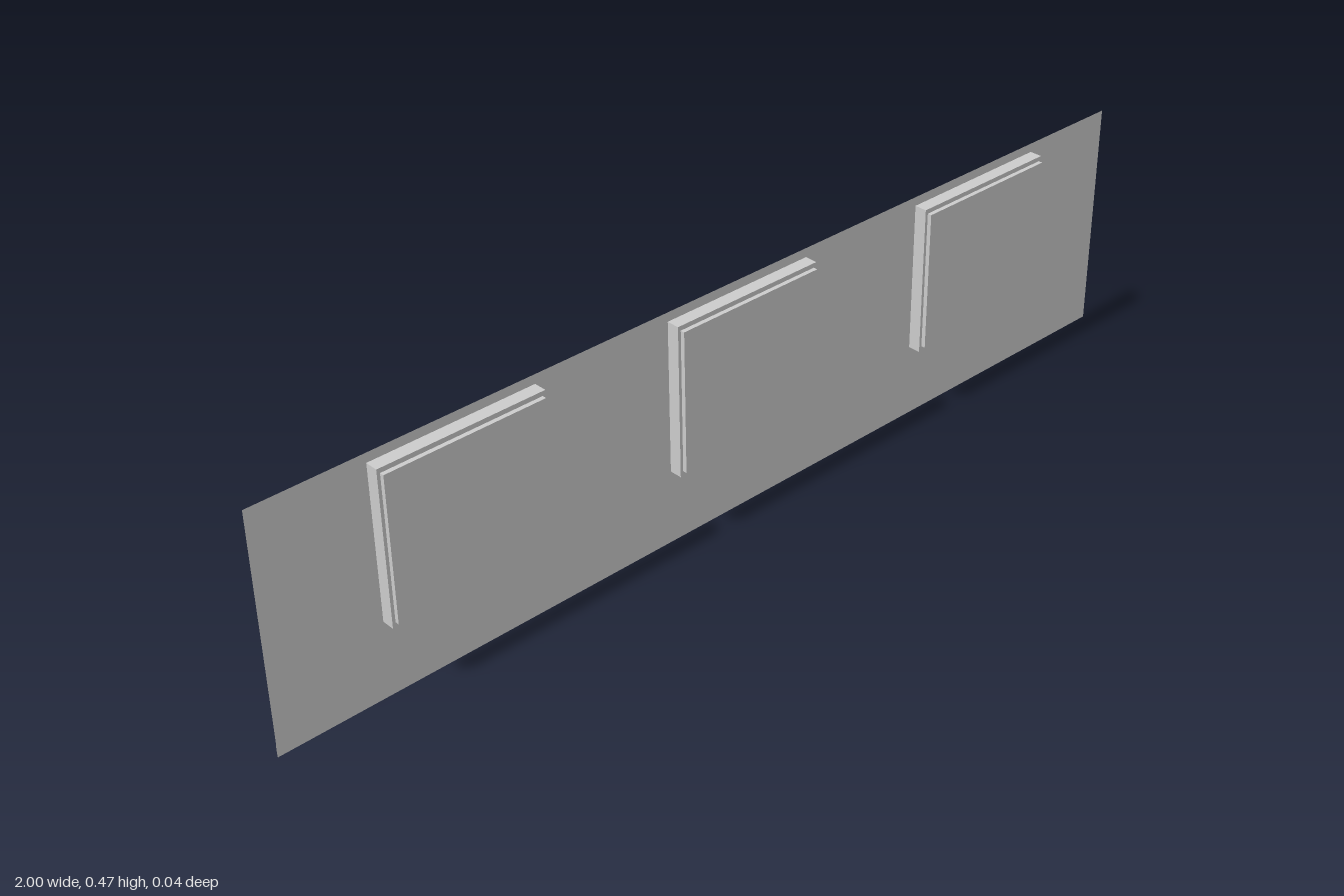
import * as THREE from 'three';

const material = new THREE.MeshStandardMaterial({ color: 0xcccccc, side: THREE.DoubleSide, flatShading: true });
const WALL_Z = -0.0165, HEIGHT = 0.47;
const WINDOW_X = [-0.617, 0, 0.617];

// Cross-sections of a window from the wall forward: half width, bottom, top, depth
const SECTIONS = [
  [0.165, 0.15, 0.452, WALL_Z],
  [0.165, 0.15, 0.452, 0.009],
  [0.159, 0.16, 0.443, 0.009],
  [0.159, 0.16, 0.443, 0.0175],
];

function rectangle(shape, x0, y0, x1, y1) {
  shape.moveTo(x0, y0).lineTo(x1, y0).lineTo(x1, y1).lineTo(x0, y1).closePath();
  return shape;
}

function addMesh(parent, name, geometry, z = 0) {
  const mesh = new THREE.Mesh(geometry, material);
  mesh.name = name;
  mesh.position.z = z;
  parent.add(mesh);
}

// Stepped frame, hollow and open at the back
function frameGeometry() {
  const corners = SECTIONS.map(([w, b, t, z]) => [[-w, b, z], [w, b, z], [w, t, z], [-w, t, z]]);
  const positions = [];
  for (let s = 0; s < corners.length - 1; s++) {
    for (let i = 0; i < 4; i++) {
      const j = (i + 1) % 4;
      const a = corners[s][i], b = corners[s][j], c = corners[s + 1][j], d = corners[s + 1][i];
      positions.push(...a, ...b, ...c, ...a, ...c, ...d);
    }
  }
  const geometry = new THREE.BufferGeometry();
  geometry.setAttribute('position', new THREE.Float32BufferAttribute(positions, 3));
  geometry.computeVertexNormals();
  return geometry;
}

export function createModel() {
  const model = new THREE.Group();
  model.name = 'windowWall';

  // Thin wall sheet with an opening behind each window
  const wall = rectangle(new THREE.Shape(), -1, 0, 1, HEIGHT);
  const [halfWidth, bottom, top] = SECTIONS[0];
  for (const x of WINDOW_X) {
    wall.holes.push(rectangle(new THREE.Path(), x - halfWidth, bottom, x + halfWidth, top));
  }
  addMesh(model, 'wall', new THREE.ShapeGeometry(wall), WALL_Z);

  // Low strip along the back of the wall's foot
  addMesh(model, 'baseStrip', new THREE.ShapeGeometry(rectangle(new THREE.Shape(), -1, 0, 1, 0.025)), -0.0175);

  // Windows: stepped frame closed by a front pane
  const frame = frameGeometry();
  const [w, b, t, z] = SECTIONS[SECTIONS.length - 1];
  const pane = new THREE.ShapeGeometry(rectangle(new THREE.Shape(), -w, b, w, t));
  for (const x of WINDOW_X) {
    const unit = new THREE.Group();
    unit.name = 'window';
    unit.position.x = x;
    addMesh(unit, 'windowFrame', frame);
    addMesh(unit, 'windowPane', pane, z);
    model.add(unit);
  }
  return model;
}
